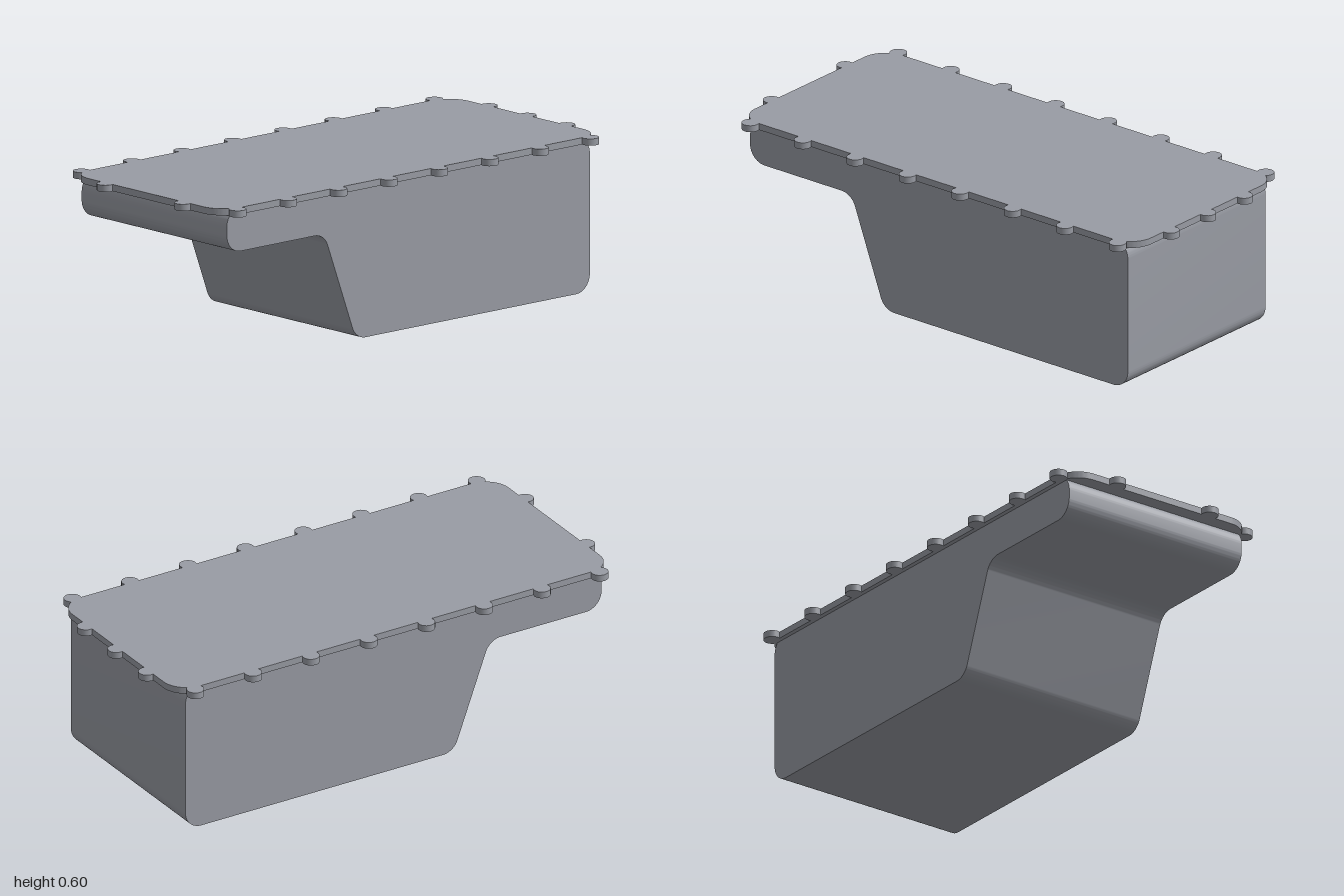
import * as THREE from 'three';
import { toCreasedNormals } from 'three/addons/utils/BufferGeometryUtils.js';

// Polygon [x, y] (counter-clockwise) with every corner rounded by a tangent arc
function roundedShape(points, radius) {
  const shape = new THREE.Shape();
  const pts = points.map(([x, y]) => new THREE.Vector2(x, y));
  const n = pts.length;
  pts.forEach((p, i) => {
    const a = pts[(i + n - 1) % n].clone().sub(p).normalize();
    const b = pts[(i + 1) % n].clone().sub(p).normalize();
    const half = Math.acos(a.dot(b)) / 2;
    const centre = a.clone().add(b).normalize().multiplyScalar(radius / Math.sin(half)).add(p);
    const t = radius / Math.tan(half);
    const start = a.clone().multiplyScalar(t).add(p).sub(centre);
    const end = b.clone().multiplyScalar(t).add(p).sub(centre);
    const clockwise = a.x * b.y - a.y * b.x > 0;
    shape.absarc(centre.x, centre.y, radius, start.angle(), end.angle(), clockwise);
  });
  return shape;
}

function extrude(shape, depth) {
  const geometry = new THREE.ExtrudeGeometry(shape, { depth, bevelEnabled: false, curveSegments: 12 });
  return toCreasedNormals(geometry, 0.6);
}

export function createModel() {
  const group = new THREE.Group();
  const metal = new THREE.MeshStandardMaterial({ name: 'grey metal', color: 0x999ca4 });
  const add = (name, geometry, x = 0, y = 0, z = 0) => {
    const mesh = new THREE.Mesh(geometry, metal);
    mesh.name = name;
    mesh.position.set(x, y, z);
    group.add(mesh);
    return mesh;
  };

  // Deep sump with a shallow step toward -x
  const profile = [
    [-0.917, 0.598], [-0.917, 0.427], [-0.425, 0.427],
    [-0.266, 0], [0.915, 0], [0.915, 0.598],
  ];
  add('panBody', extrude(roundedShape(profile, 0.07), 0.804), 0, 0, -0.402);

  // Flat mounting flange with rounded corners
  const fx = 0.96, fz = 0.42, top = 0.6, thick = 0.026;
  const outline = [[-fx, -fz], [fx, -fz], [fx, fz], [-fx, fz]];
  const flange = extrude(roundedShape(outline, 0.1), thick);
  flange.rotateX(-Math.PI / 2);
  add('flange', flange, 0, top - thick, 0);

  // Round bolt lugs around the flange edge
  const r = 0.033;
  const lug = new THREE.CylinderGeometry(r, r, thick, 24);
  const y = top - thick / 2;
  for (let i = 0; i < 8; i++) {
    const x = -0.89 + i * 0.2543;
    for (const s of [-1, 1]) add('boltLug', lug, x, y, s * (0.465 - r));
  }
  for (const z of [-0.215, 0, 0.215]) add('boltLug', lug, 1 - r, y, z);
  for (const z of [-0.215, 0.215]) add('boltLug', lug, -1 + r, y, z);

  return group;
}
